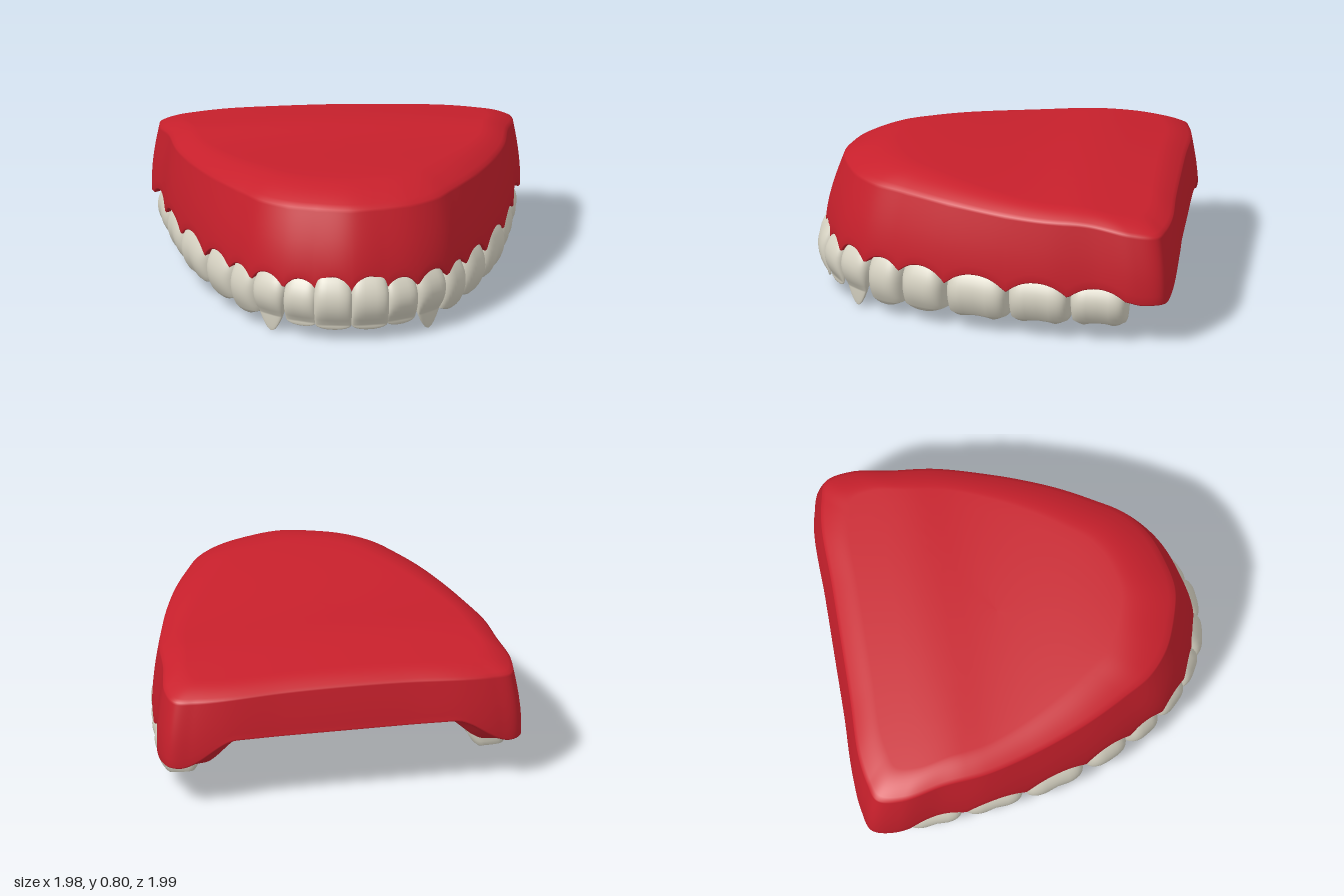
import * as THREE from 'three';

const { lerp, smoothstep } = THREE.MathUtils;

// Half outlines of the arch from the front midline to the back midline: outer x, z, inner x, z
const ARCH = [
  [0, 0.965, 0, 0.74], [0.2, 0.925, 0.13, 0.71], [0.375, 0.855, 0.25, 0.64], [0.52, 0.735, 0.34, 0.54],
  [0.625, 0.56, 0.43, 0.41], [0.725, 0.36, 0.5, 0.25], [0.805, 0.15, 0.56, 0.08], [0.86, -0.03, 0.61, -0.07],
  [0.925, -0.3, 0.66, -0.32], [0.95, -0.55, 0.7, -0.55], [0.99, -0.78, 0.73, -0.76], [0.96, -0.925, 0.72, -0.85],
  [0.85, -0.965, 0.68, -0.9], [0.68, -0.99, 0.58, -0.925], [0.35, -0.985, 0.33, -0.93], [0, -0.985, 0, -0.93],
];

// One side's teeth: outer face x, z, turn, width, depth, tip height, gum line
const TEETH = [
  { name: 'centralIncisor', kind: 'incisor', x: 0.105, z: 0.998, turn: 0.12, w: 0.212, d: 0.18, bot: 0.07, top: 0.375 },
  { name: 'lateralIncisor', kind: 'incisor', x: 0.293, z: 0.93, turn: 0.45, w: 0.19, d: 0.17, bot: 0.075, top: 0.35 },
  { name: 'canine', kind: 'canine', x: 0.466, z: 0.806, turn: 0.74, w: 0.215, d: 0.2, bot: 0.075, top: 0.355 },
  { name: 'firstPremolar', kind: 'premolar', x: 0.603, z: 0.635, turn: 0.97, w: 0.21, d: 0.22, bot: 0.055, top: 0.34 },
  { name: 'secondPremolar', kind: 'premolar', x: 0.722, z: 0.42, turn: 1.1, w: 0.255, d: 0.23, bot: 0.065, top: 0.34 },
  { name: 'firstMolar', kind: 'molar', x: 0.842, z: 0.11, turn: 1.27, w: 0.35, d: 0.26, bot: 0.07, top: 0.335 },
  { name: 'secondMolar', kind: 'molar', x: 0.915, z: -0.238, turn: 1.4, w: 0.34, d: 0.26, bot: 0.075, top: 0.33 },
  { name: 'thirdMolar', kind: 'molar', x: 0.96, z: -0.57, turn: 1.48, w: 0.315, d: 0.25, bot: 0.085, top: 0.32 },
];

// Skins a list of closed rings of points, ordered from the top down
function loft(rings) {
  const n = rings[0].length, index = [];
  for (let r = 0; r < rings.length - 1; r++) {
    for (let j = 0; j < n; j++) {
      const k = (j + 1) % n, a = r * n + j, b = a + n, c = (r + 1) * n + k, d = r * n + k;
      index.push(a, b, c, a, c, d);
    }
  }
  const geo = new THREE.BufferGeometry();
  geo.setAttribute('position', new THREE.Float32BufferAttribute(rings.flat(2), 3));
  geo.setIndex(index);
  geo.computeVertexNormals();
  return geo;
}

function closedCurve(ix) {
  const half = ARCH.map((p) => new THREE.Vector3(p[ix], 0, p[ix + 1]));
  const other = half.slice(1, -1).reverse().map((p) => new THREE.Vector3(-p.x, 0, p.z));
  return new THREE.CatmullRomCurve3([...half, ...other], true);
}

// Height of the upper surface
function topY(x, z) {
  return 0.748 + 0.052 * smoothstep(z, -0.3, 0.62) - 0.06 * smoothstep(-z, 0.4, 1) - 0.045 * x * x;
}

// Lower rim: scalloped round each tooth, raised between the back corners
function rimY(x, z) {
  const ax = Math.abs(x);
  let best = Infinity, tooth = TEETH[0];
  for (const t of TEETH) {
    const s = Math.abs((ax - t.x) * Math.cos(t.turn) - (z - t.z) * Math.sin(t.turn)) / (t.w / 2);
    const near = Math.hypot(ax - t.x, z - t.z) / t.w;
    if (near < best) { best = near; tooth = { ...t, s }; }
  }
  const papilla = tooth.kind === 'molar' ? 0.262 : 0.285;
  const y = lerp(tooth.top, papilla, Math.min(1, tooth.s) ** 2.2);
  const behind = smoothstep(-z, 0.72, 0.82);
  const back = lerp(0.245, 0.405, 1 - smoothstep(ax, 0.6, 0.92));
  return lerp(y, back, behind);
}

function gumGeometry() {
  const N = 360, CZ = -0.1;
  const outer = closedCurve(0), inner = closedCurve(2);
  const columns = [];
  for (let j = 0; j < N; j++) {
    const o = outer.getPoint(j / N), i = inner.getPoint(j / N), col = [];
    const at = (p, k) => [p.x * k, CZ + (p.z - CZ) * k];
    const put = (p, k, y) => { const [x, z] = at(p, k); col.push([x, y, z]); };
    const front = smoothstep(o.z, -0.6, 0.9);
    const shoulder = lerp(0.96, 0.905, front), roll = lerp(0.15, 0.27, front), drop = lerp(0.045, 0.082, front);
    const rim = rimY(o.x, o.z);

    // Upper surface and rounded shoulder
    for (let s = 0; s <= 8; s++) {
      const k = (shoulder - roll) * s / 8;
      put(o, k, topY(...at(o, k)));
    }
    for (let s = 1; s <= 8; s++) {
      const k = shoulder - roll * (1 - s / 8);
      put(o, k, topY(...at(o, k)) - drop * (s / 8) ** 1.9);
    }
    // Outer wall, flaring with height so the scallops do not ripple it
    const wallTop = col[col.length - 1][1];
    for (const t of [0.04, 0.1, 0.18, 0.3, 0.45, 0.6, 0.75, 0.88, 1]) {
      const y = lerp(wallTop, rim, t), f = Math.min(1, (wallTop - y) / (wallTop - 0.29));
      put(o, lerp(shoulder, 1, Math.sin(f * Math.PI / 2)), y);
    }
    // Underside of the ridge
    const under = lerp(0.3, rim, smoothstep(-o.z, 0.72, 0.82));
    const ridge = [[0.03, rim - 0.008], [0.1, rim - 0.004], [0.35, lerp(rim, under, 0.6)], [0.7, under - 0.005], [0.9, under + 0.012]];
    for (const [f, y] of ridge) put(o.clone().lerp(i, f), 1, y);
    // Inner slope rising gently to the shallow palate
    for (let s = 0; s <= 12; s++) {
      const f = s / 12, k = lerp(1, 0.4, f);
      put(i, k, lerp(under + 0.025, topY(...at(i, k)) - 0.24, Math.sin(f * Math.PI / 2)));
    }
    for (let s = 4; s >= 0; s--) {
      const k = 0.4 * s / 5;
      put(i, k, topY(...at(i, k)) - 0.24);
    }
    columns.push(col);
  }
  return loft(columns[0].map((_, r) => columns.map((c) => c[r])));
}

function toothGeometry({ kind, w, d, bot, top }) {
  const N = 40, rings = [];
  const molar = kind === 'molar', grinder = molar || kind === 'premolar';
  const power = molar ? 0.5 : 0.65;
  const lean = grinder ? 0.055 : 0.07;
  const point = (a, v, k, y) => {
    const sx = Math.sign(Math.sin(a)) * Math.abs(Math.sin(a)) ** power;
    const sz = Math.sign(Math.cos(a)) * Math.abs(Math.cos(a)) ** power;
    const taper = kind === 'canine' ? 1 - 0.26 * v ** 3.5 : 1 - 0.06 * v ** 4;
    const width = w / 2 * 0.99 * lerp(molar ? 0.88 : 0.82, 1, smoothstep(v, 0, 0.5)) * taper;
    const face = -lean * (2 * v - 1.15) ** 2;
    const rear = grinder ? -d + 0.04 * (2 * v - 1) ** 2 : -d * (1 - 0.6 * v);
    const groove = molar ? 1 - 0.08 * smoothstep(v, 0.2, 1) * Math.exp(-((sx / 0.2) ** 2)) : 1;
    return [sx * width * k, y, (face + rear) / 2 + sz * groove * k * (face - rear) / 2];
  };
  const ring = (v, k, yAt) => {
    rings.push(Array.from({ length: N }, (_, j) => {
      const a = j / N * Math.PI * 2;
      return point(a, v, k, yAt(a));
    }));
  };
  // Crown wall, with its top set into the gum
  for (let s = 0; s <= 10; s++) ring(s / 10, 1, () => lerp(top + 0.03, bot + 0.025, s / 10));
  // Biting edge: cusps round a hollow, a point, or a blunt edge
  for (const k of [0.95, 0.85, 0.7, 0.5, 0.3, 0.12, 0]) {
    ring(1, k, (a) => {
      if (kind === 'canine') return bot + 0.025 - 0.1 * (1 - k ** 1.8);
      if (!grinder) return bot + 0.025 - 0.032 * Math.sqrt(1 - k * k);
      const cusp = molar ? Math.sin(2 * a) ** 2 : Math.cos(a) ** 2;
      const edge = bot + 0.025 - 0.025 * Math.min(1, (1 - k) / 0.25) * (0.5 + 0.5 * cusp);
      return lerp(edge, bot + 0.03, 1 - smoothstep(k, 0, 0.75));
    });
  }
  return loft(rings);
}

export function createModel() {
  const gumRed = new THREE.MeshStandardMaterial({ color: 0xc8202c });
  gumRed.name = 'gum red';
  const ivory = new THREE.MeshStandardMaterial({ color: 0xd8d4c4 });
  ivory.name = 'tooth ivory';

  const model = new THREE.Group();
  model.name = 'upperDenture';

  const gum = new THREE.Mesh(gumGeometry(), gumRed);
  gum.name = 'gumAndPalate';
  model.add(gum);

  // Teeth, mirrored left and right
  for (const t of TEETH) {
    const geo = toothGeometry(t);
    for (const side of [1, -1]) {
      const tooth = new THREE.Mesh(geo, ivory);
      tooth.name = (side > 0 ? 'left ' : 'right ') + t.name;
      tooth.position.set(side * t.x, 0, t.z);
      tooth.rotation.y = side * t.turn;
      model.add(tooth);
    }
  }
  return model;
}
